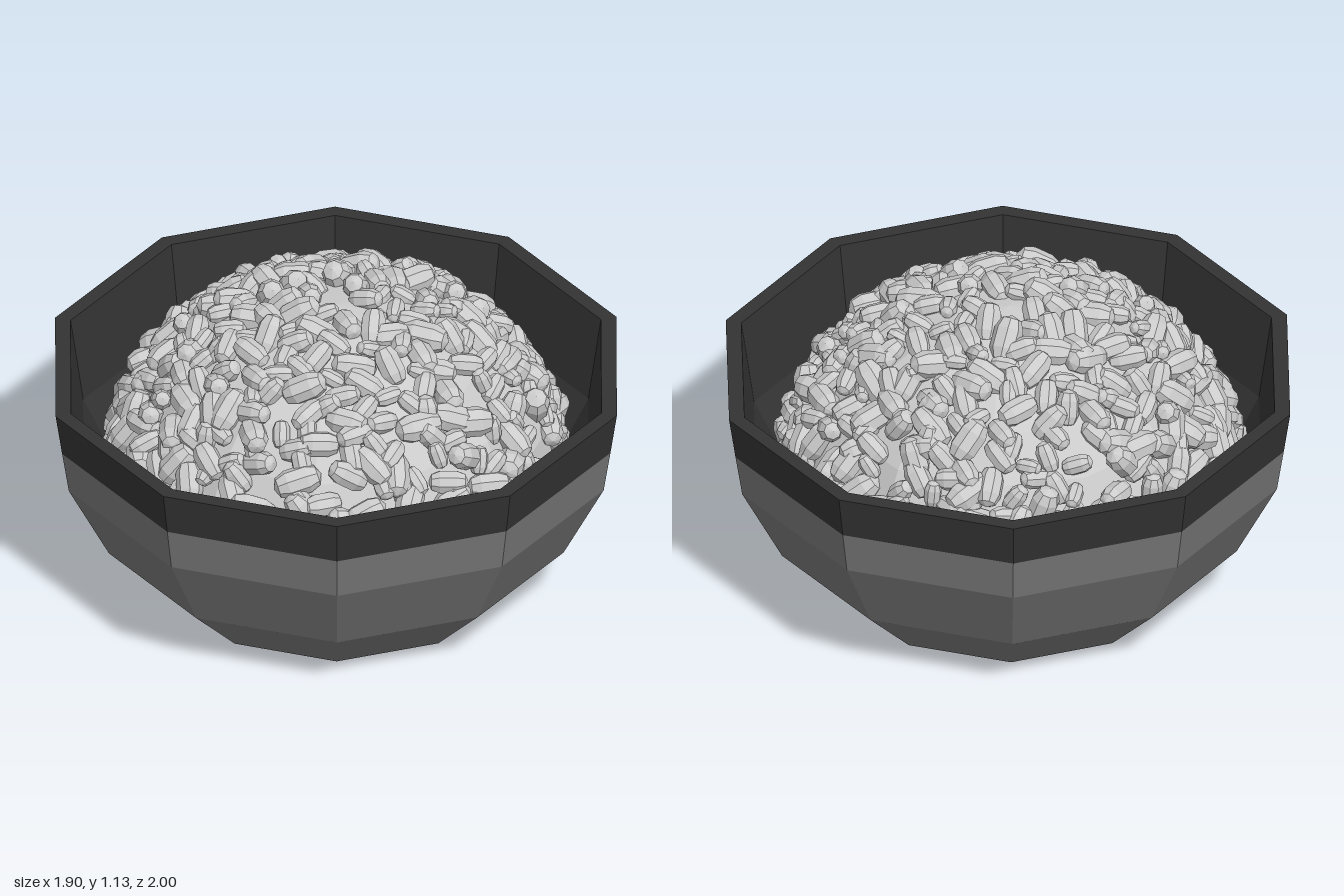
import * as THREE from 'three';
import { mergeGeometries } from 'three/addons/utils/BufferGeometryUtils.js';

const SIDES = 10;
const MOUND = { y: 0.38, rx: 0.75, ry: 0.68, rz: 0.77 };

function material(color) {
  return new THREE.MeshStandardMaterial({ color, flatShading: true });
}

// Ten-sided turned part from [radius, height] pairs
function turned(name, profile, mat) {
  const points = profile.map(([r, y]) => new THREE.Vector2(r, y));
  const mesh = new THREE.Mesh(new THREE.LatheGeometry(points, SIDES), mat);
  mesh.name = name;
  return mesh;
}

function seeded(seed) {
  return () => {
    seed = (seed * 16807) % 2147483647;
    return seed / 2147483647;
  };
}

// Plump faceted capsules scattered over the mound at loose angles
function scatterGrains(count) {
  const random = seeded(4721);
  const up = new THREE.Vector3(0, 1, 0);
  const parts = [];
  for (let i = 0; i < count; i++) {
    const ny = 0.995 - 0.93 * ((i + random()) / count);
    const angle = i * 2.39996 + (random() - 0.5) * 0.25;
    const ring = Math.sqrt(1 - ny * ny);
    const dir = new THREE.Vector3(ring * Math.sin(angle), ny, ring * Math.cos(angle));
    const normal = new THREE.Vector3(dir.x / MOUND.rx, dir.y / MOUND.ry, dir.z / MOUND.rz).normalize();

    const tangent = new THREE.Vector3(random() - 0.5, random() - 0.5, random() - 0.5)
      .cross(normal).normalize();
    const axis = tangent.addScaledVector(normal, (random() - 0.5) * 1.5).normalize();

    const size = 0.6 + 0.5 * random();
    const grain = new THREE.CapsuleGeometry(0.047 * size, 0.066 * size, 2, 8);
    const position = new THREE.Vector3(dir.x * MOUND.rx, MOUND.y + dir.y * MOUND.ry, dir.z * MOUND.rz)
      .addScaledVector(normal, 0.014 * random());
    grain.applyMatrix4(new THREE.Matrix4().compose(
      position, new THREE.Quaternion().setFromUnitVectors(up, axis), new THREE.Vector3(1, 1, 1)));
    parts.push(grain);
  }
  return mergeGeometries(parts);
}

export function createModel() {
  const model = new THREE.Group();
  model.name = 'bowlOfGrains';
  const dark = material(0x333333);
  const grey = material(0x777777);
  const pale = material(0xcccccc);

  // Bowl: base, outer wall, dark rim and lining
  const bowl = new THREE.Group();
  bowl.name = 'bowl';
  bowl.add(
    turned('base', [[0, 0], [0.587, 0]], dark),
    turned('outerWall', [[0.587, 0], [0.81, 0.22], [0.953, 0.5], [0.977, 0.655]], grey),
    turned('rim', [[0.977, 0.655], [1, 0.81], [0.945, 0.81]], dark),
    turned('lining', [[0.945, 0.81], [0.9, 0.5], [0.76, 0.24], [0.55, 0.05], [0, 0.05]], dark)
  );
  model.add(bowl);

  // Mound filling the bowl under the loose grains
  const dome = new THREE.SphereGeometry(1, 12, 7, 0, Math.PI * 2, 0, Math.PI * 0.56);
  const mound = new THREE.Mesh(dome, pale);
  mound.name = 'mound';
  mound.scale.set(MOUND.rx, MOUND.ry, MOUND.rz);
  mound.position.y = MOUND.y;
  model.add(mound);

  const grains = new THREE.Mesh(scatterGrains(430), pale);
  grains.name = 'grains';
  model.add(grains);

  return model;
}
